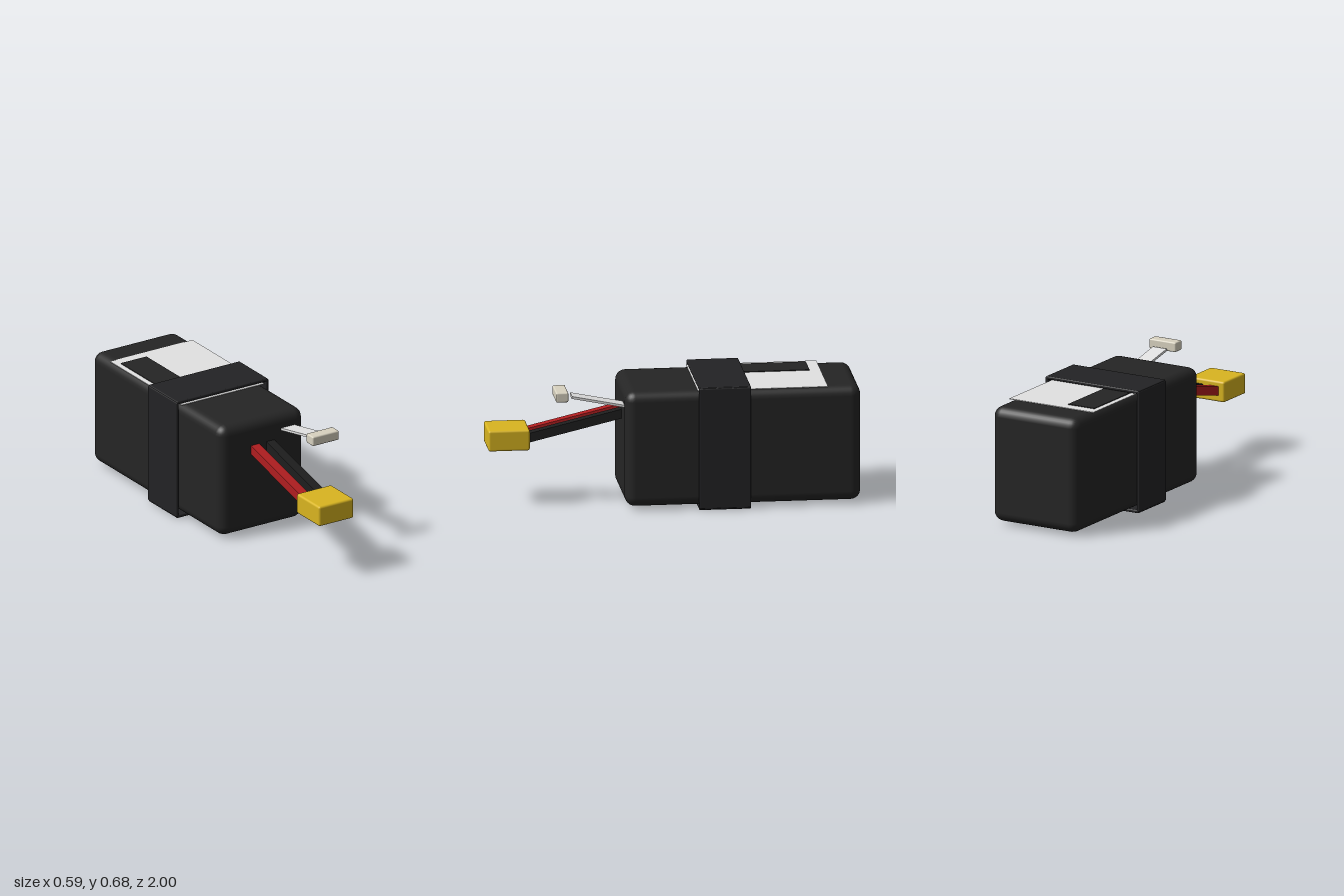
import * as THREE from 'three';
import { RoundedBoxGeometry } from 'three/addons/geometries/RoundedBoxGeometry.js';

const mat = (name, color) => {
  const m = new THREE.MeshStandardMaterial({ color });
  m.name = name;
  return m;
};

export function createModel() {
  const group = new THREE.Group();
  const black = mat('wrap black', 0x252525);
  const strapBlack = mat('strap black', 0x232325);
  const wireBlack = mat('wire black', 0x1e1e1e);
  const red = mat('wire red', 0xb01e20);
  const yellow = mat('connector yellow', 0xd9b520);
  const white = mat('label white', 0xe2e2e2);
  const cream = mat('plug cream', 0xd8d2c0);

  // Box given by its extents, rounded when r > 0
  const box = (name, material, [x0, x1], [y0, y1], [z0, z1], r = 0, seg = 2) => {
    const w = x1 - x0, h = y1 - y0, d = z1 - z0;
    const geo = r ? new RoundedBoxGeometry(w, h, d, seg, r) : new THREE.BoxGeometry(w, h, d);
    const mesh = new THREE.Mesh(geo, material);
    mesh.name = name;
    mesh.position.set((x0 + x1) / 2, (y0 + y1) / 2, (z0 + z1) / 2);
    group.add(mesh);
    return mesh;
  };

  // Straight lead in the y-z plane, from start [y, z] to end [y, z]
  const lead = (name, material, x, w, t, [ya, za], [yb, zb]) => {
    const mesh = new THREE.Mesh(new THREE.BoxGeometry(w, t, Math.hypot(yb - ya, zb - za)), material);
    mesh.name = name;
    mesh.position.set(x, (ya + yb) / 2, (za + zb) / 2);
    mesh.rotation.x = -Math.atan2(yb - ya, zb - za);
    group.add(mesh);
  };

  // Battery body
  box('body', black, [-0.27, 0.27], [0.02, 0.66], [-1, 0.275], 0.055, 3);

  // Strap: four panels forming an open band around the body
  const sz = [-0.4, -0.12];
  box('strapTop', strapBlack, [-0.292, 0.292], [0.667, 0.685], sz, 0.006);
  box('strapBottom', strapBlack, [-0.292, 0.292], [0.002, 0.02], sz, 0.006);
  for (const s of [-1, 1]) {
    const xs = [s * 0.279, s * 0.297].sort((a, b) => a - b);
    box(s > 0 ? 'strapLeft' : 'strapRight', strapBlack, xs, [0.01, 0.68], sz, 0.006);
  }

  // Label sheet and its dark stripe
  box('label', white, [-0.265, 0.265], [0.659, 0.663], [-0.82, -0.115]);
  box('labelStripe', black, [-0.235, -0.07], [0.663, 0.667], [-0.76, -0.2]);

  // Power leads and connector
  lead('redWire', red, -0.049, 0.053, 0.05, [0.498, 0.26], [0.374, 0.785]);
  lead('blackWire', wireBlack, 0.049, 0.053, 0.05, [0.498, 0.26], [0.374, 0.785]);
  box('powerConnector', yellow, [-0.112, 0.112], [0.315, 0.43], [0.775, 1], 0.012);

  // Flat balance lead and plug
  lead('balanceLead', white, 0.161, 0.087, 0.013, [0.566, 0.25], [0.629, 0.56]);
  box('balancePlug', cream, [0.077, 0.246], [0.614, 0.668], [0.583, 0.65], 0.008);

  return group;
}
